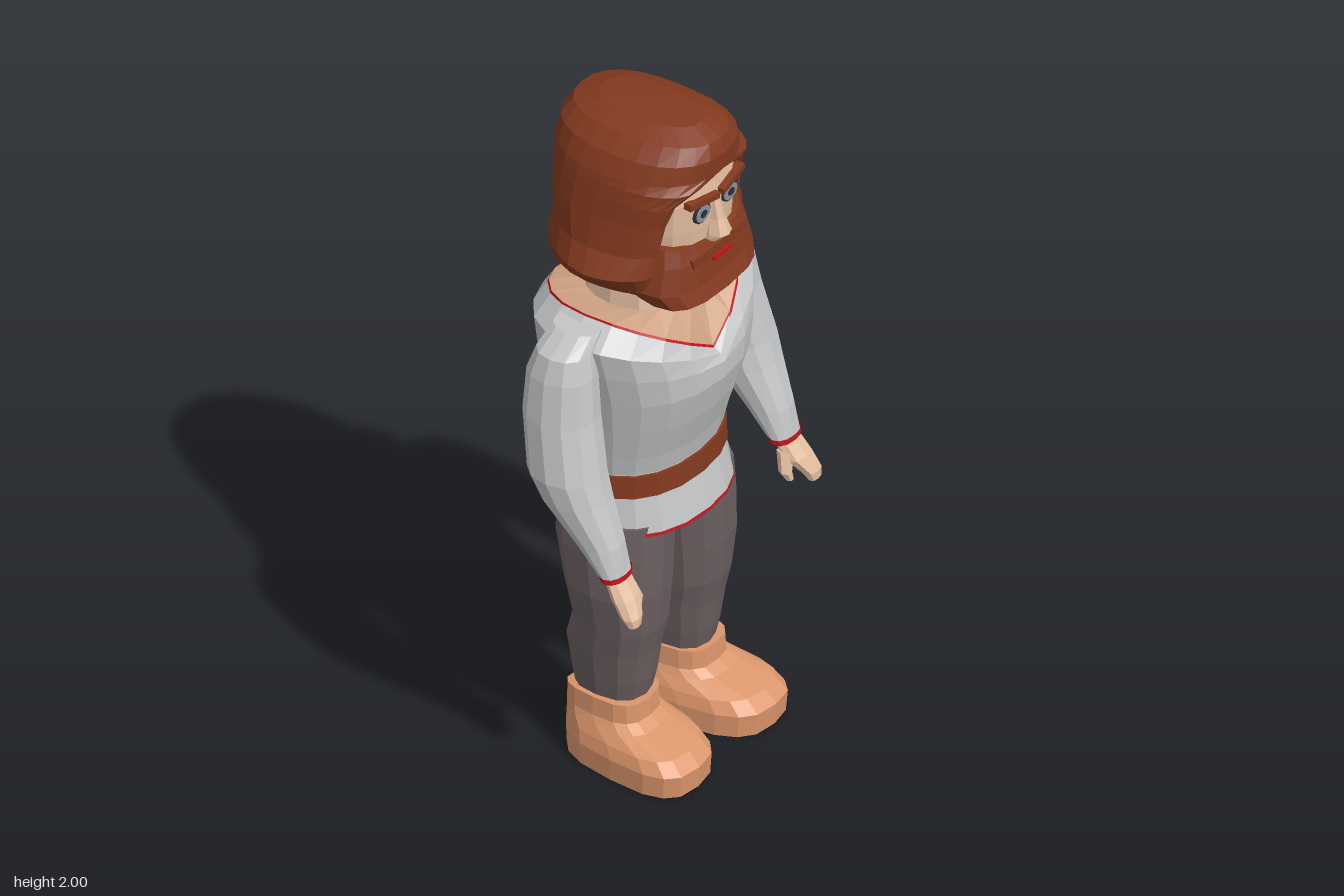
import * as THREE from 'three';

const mat = (name, color, side = THREE.FrontSide) => {
  const m = new THREE.MeshStandardMaterial({ color, side });
  m.name = name;
  return m;
};

// Joins rings of points (bottom to top) into a faceted skin
function loft(rings, { closed = true, caps = true } = {}) {
  const pos = [];
  const tri = (...p) => p.forEach(v => pos.push(v.x, v.y, v.z));
  const n = rings[0].length, steps = closed ? n : n - 1;
  for (let i = 0; i < rings.length - 1; i++) {
    for (let j = 0; j < steps; j++) {
      const k = (j + 1) % n;
      const a = rings[i][j], b = rings[i][k], c = rings[i + 1][j], d = rings[i + 1][k];
      tri(a, c, b);
      tri(b, c, d);
    }
  }
  if (caps) {
    [rings[0], rings[rings.length - 1]].forEach((r, top) => {
      const mid = r.reduce((s, p) => s.add(p), new THREE.Vector3()).divideScalar(n);
      for (let j = 0; j < n; j++) {
        const k = (j + 1) % n;
        if (top) tri(r[k], r[j], mid); else tri(r[j], r[k], mid);
      }
    });
  }
  const g = new THREE.BufferGeometry();
  g.setAttribute('position', new THREE.Float32BufferAttribute(pos, 3));
  g.computeVertexNormals();
  return g;
}

const spow = (v, p) => Math.sign(v) * Math.abs(v) ** p;

// Rounded cross-section: height, centre x, half width, front z, back z,
// drop at the front, drop at the back, sideways skew along z
function ring([y, cx, rx, zf, zb, dipF = 0, dipB = 0, skew = 0], s = 1, n = 16, p = 0.8) {
  const pts = [], cz = (zf + zb) / 2, rz = (zf - zb) / 2;
  for (let i = 0; i < n; i++) {
    const t = (i / n) * Math.PI * 2;
    const c = spow(Math.cos(t), p), z = cz + rz * spow(Math.sin(t), p);
    const dip = (Math.sin(t) > 0 ? dipF : dipB) * (1 - Math.abs(c));
    pts.push(new THREE.Vector3(s * (cx + skew * z) + rx * c, y - dip, z));
  }
  return pts;
}

// Hair outline, open at the face: height, front edge x and z, side x and z, back z, roundness
function hairRing([y, fx, fz, sx, sz, bz, p = 0.85]) {
  const half = [[fx * 0.86, y > 1.98 ? fz : fz - 0.07]], n = 6;
  for (let i = 0; i <= n; i++) {
    const t = (i / n) * Math.PI / 2;
    half.push([fx + (sx - fx) * Math.sin(t) ** p, sz + (fz - sz) * Math.abs(Math.cos(t)) ** p]);
  }
  for (let i = 1; i <= n; i++) {
    const t = (i / n) * Math.PI / 2;
    half.push([i === n ? 0 : sx * Math.cos(t) ** p, sz + (bz - sz) * Math.sin(t) ** p]);
  }
  const left = half.map(([x, z]) => new THREE.Vector3(x, y, z));
  const right = half.slice(0, -1).map(([x, z]) => new THREE.Vector3(-x, y, z));
  return [...right, ...left.reverse()];
}

export function createModel() {
  const group = new THREE.Group();
  const hair = mat('hair brown', 0x843a1f, THREE.DoubleSide);
  const skin = mat('skin', 0xe2bd9f);
  const chestSkin = mat('chest skin', 0xcfa283);
  const shirt = mat('shirt grey', 0xc3c4c5, THREE.DoubleSide);
  const red = mat('trim red', 0xc0141c, THREE.DoubleSide);
  const pants = mat('trouser grey', 0x6b5f60);
  const boot = mat('boot tan', 0xdc966c);
  const eye = mat('eye grey', 0x84919b);
  const dark = mat('pupil dark', 0x2b3035);

  const add = (name, geo, m) => {
    const mesh = new THREE.Mesh(geo, m);
    mesh.name = name;
    group.add(mesh);
    return mesh;
  };
  const body = (name, rows, m, s = 1, n = 16, p = 0.8, opt) =>
    add(name, loft(rows.map(r => ring(r, s, n, p)), opt), m);
  const open = { caps: false };

  // Shirt, with a V neckline that dips at front and back
  const neckline = [1.445, 0, 0.26, 0.2, -0.25, 0.16, 0.055];
  body('shirt', [
    [0.755, 0, 0.262, 0.19, -0.243], [0.87, 0, 0.245, 0.162, -0.212],
    [0.94, 0, 0.242, 0.16, -0.205], [1.0, 0, 0.252, 0.175, -0.212],
    [1.1, 0, 0.27, 0.21, -0.245], [1.2, 0, 0.29, 0.237, -0.272],
    [1.3, 0, 0.315, 0.237, -0.277, 0.05], [1.39, 0, 0.335, 0.225, -0.272, 0.12, 0.03], neckline,
  ], shirt, 1, 20, 0.9, open);
  body('chest', [neckline, [1.43, 0, 0.165, 0.13, -0.165, 0.02]], chestSkin, 1, 20, 0.9, open);

  // Red trims and belt
  body('necklineTrim', [
    [1.441, 0, 0.264, 0.205, -0.255, 0.16, 0.055], [1.448, 0, 0.261, 0.2, -0.251, 0.16, 0.055],
  ], red, 1, 20, 0.9, open);
  body('hemTrim', [[0.754, 0, 0.264, 0.192, -0.245], [0.763, 0, 0.263, 0.19, -0.243]], red, 1, 20, 0.9, open);
  body('belt', [[0.87, 0, 0.253, 0.17, -0.22], [0.937, 0, 0.249, 0.168, -0.215]], hair, 1, 20, 0.9);

  // Neck and head
  body('neck', [
    [1.41, 0, 0.16, 0.125, -0.165], [1.48, 0, 0.15, 0.115, -0.155], [1.54, 0, 0.15, 0.13, -0.15],
  ], skin, 1, 12);
  body('head', [
    [1.52, 0, 0.12, 0.16, -0.16], [1.6, 0, 0.16, 0.2, -0.18],
    [1.7, 0, 0.172, 0.208, -0.2], [1.79, 0, 0.17, 0.212, -0.2], [1.89, 0, 0.15, 0.2, -0.19],
  ], skin, 1, 16, 0.65);
  body('nose', [
    [1.645, 0, 0.036, 0.23, 0.17], [1.665, 0, 0.034, 0.252, 0.17],
    [1.71, 0, 0.022, 0.235, 0.17], [1.775, 0, 0.018, 0.218, 0.17],
  ], skin, 1, 8);

  // Hair flaring at the jaw, arching over the face and closing at the crown
  add('hair', loft([
    [1.57, 0.12, 0.1, 0.15, 0, -0.16], [1.515, 0.18, 0.11, 0.205, -0.05, -0.25, 1],
    [1.54, 0.19, 0.13, 0.245, -0.03, -0.283, 1.05], [1.6, 0.2, 0.145, 0.294, -0.01, -0.27, 1.15],
    [1.66, 0.18, 0.15, 0.255, -0.02, -0.25, 1], [1.75, 0.165, 0.165, 0.232, -0.03, -0.248],
    [1.81, 0.15, 0.185, 0.222, -0.02, -0.25], [1.85, 0.09, 0.222, 0.214, -0.01, -0.25],
    [1.872, 0, 0.234, 0.207, -0.01, -0.25], [1.925, 0, 0.238, 0.18, 0, -0.245],
    [1.965, 0, 0.225, 0.135, 0, -0.22], [1.99, 0, 0.16, 0.08, 0, -0.15], [2.0, 0, 0, 0, 0, 0],
  ].map(hairRing), { closed: false, caps: false }), hair);

  // Beard reaching back to the hair, and mouth
  body('beard', [
    [1.472, 0, 0.12, 0.225, 0.1], [1.5, 0, 0.19, 0.25, 0.04], [1.545, 0, 0.215, 0.235, -0.02],
    [1.62, 0, 0.19, 0.226, 0], [1.67, 0, 0.174, 0.214, 0, 0.025],
  ], hair, 1, 16, 0.7);
  add('mouth', new THREE.BoxGeometry(0.08, 0.013, 0.008), red).position.set(0, 1.6, 0.229);

  for (const s of [1, -1]) {
    const side = s > 0 ? 'left' : 'right';

    // Face details
    const tash = add(side + 'Moustache', new THREE.BoxGeometry(0.12, 0.028, 0.02), hair);
    tash.position.set(s * 0.058, 1.628, 0.22);
    tash.rotation.set(0, s * 0.15, -s * 0.15);
    const brow = add(side + 'Eyebrow', new THREE.BoxGeometry(0.115, 0.018, 0.025), hair);
    brow.position.set(s * 0.064, 1.794, 0.21);
    brow.rotation.set(0, s * 0.12, s * 0.12);
    [[0.036, 0.207, dark, 'EyeRim'], [0.03, 0.21, eye, 'Eye'], [0.014, 0.212, dark, 'Pupil']].forEach(([r, z, m, name]) => {
      const disc = add(side + name, new THREE.CylinderGeometry(r, r, 0.008, 12), m);
      disc.rotation.x = Math.PI / 2;
      disc.scale.z = 0.8;
      disc.position.set(s * 0.062, 1.752, z);
    });

    // Sleeve bent forward at the elbow, with red cuff
    body(side + 'Sleeve', [
      [0.76, 0.383, 0.052, 0.19, 0.13], [0.85, 0.383, 0.066, 0.172, 0.05],
      [0.97, 0.385, 0.09, 0.13, -0.06], [1.04, 0.385, 0.098, 0.11, -0.1],
      [1.2, 0.364, 0.095, 0.075, -0.13], [1.32, 0.35, 0.085, 0.06, -0.13],
      [1.385, 0.335, 0.078, 0.045, -0.11], [1.43, 0.285, 0.055, 0.04, -0.1],
    ], shirt, s, 12, 0.9);
    body(side + 'Cuff', [[0.756, 0.383, 0.054, 0.194, 0.128], [0.772, 0.383, 0.056, 0.192, 0.123]], red, s, 12, 0.9, open);

    // Hand
    body(side + 'Palm', [
      [0.64, 0.408, 0.022, 0.25, 0.222], [0.665, 0.406, 0.032, 0.25, 0.2],
      [0.71, 0.39, 0.046, 0.225, 0.165], [0.765, 0.383, 0.042, 0.185, 0.135],
    ], skin, s, 8);
    body(side + 'Thumb', [
      [0.655, 0.345, 0.011, 0.212, 0.19], [0.68, 0.338, 0.016, 0.21, 0.175], [0.73, 0.36, 0.022, 0.2, 0.155],
    ], skin, s, 6);

    // Trouser leg
    body(side + 'Leg', [
      [0.17, 0.143, 0.075, 0.08, -0.115], [0.26, 0.143, 0.088, 0.1, -0.13],
      [0.35, 0.143, 0.1, 0.112, -0.142], [0.43, 0.143, 0.11, 0.128, -0.118],
      [0.55, 0.146, 0.125, 0.138, -0.14], [0.68, 0.139, 0.131, 0.14, -0.17],
      [0.78, 0.132, 0.13, 0.138, -0.17],
    ], pants, s, 12);

    // Boot turned slightly outward
    body(side + 'Boot', [
      [0, 0.145, 0.13, 0.275, -0.138, 0, 0, 0.1], [0.065, 0.146, 0.132, 0.28, -0.14, 0, 0, 0.1],
      [0.1, 0.146, 0.122, 0.245, -0.14, 0, 0, 0.1], [0.13, 0.146, 0.105, 0.14, -0.14, 0, 0, 0.08],
      [0.15, 0.146, 0.095, 0.108, -0.14, 0, 0, 0.05], [0.205, 0.146, 0.092, 0.105, -0.14, 0, 0.025, 0.05],
    ], boot, s, 16, 0.68);
  }

  // Hips closing the shirt from below
  body('hips', [[0.775, 0, 0.235, 0.155, -0.2], [0.81, 0, 0.23, 0.15, -0.195]], pants, 1, 20, 0.9);
  return group;
}
